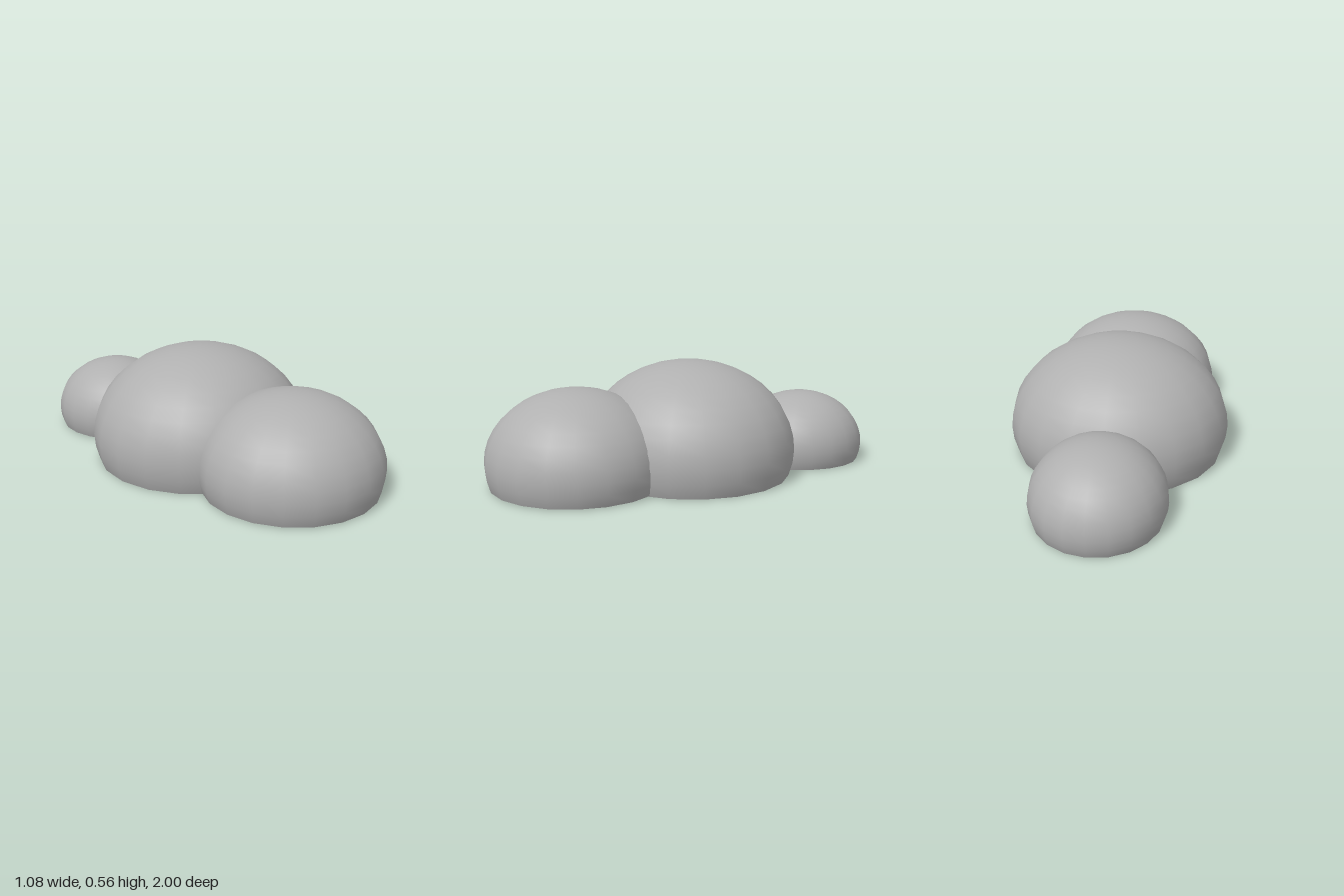
import * as THREE from 'three';

const SIDES = 20;

// Ellipsoid dome cut flat at baseY, closed with a base disc
function makeDome(name, material, { rx, ry, rz, y, z, baseY }) {
  const dome = new THREE.Group();
  dome.name = name;

  const cutAngle = Math.acos((baseY - y) / ry);
  const shell = new THREE.SphereGeometry(1, SIDES, 12, 0, Math.PI * 2, 0, cutAngle);
  shell.scale(rx, ry, rz);
  const shellMesh = new THREE.Mesh(shell, material);
  shellMesh.name = name + 'Shell';
  shellMesh.position.set(0, y, z);

  const base = new THREE.CircleGeometry(Math.sin(cutAngle), SIDES);
  base.rotateX(Math.PI / 2); // faces down
  base.scale(rx, 1, rz);
  const baseMesh = new THREE.Mesh(base, material);
  baseMesh.name = name + 'Base';
  baseMesh.position.set(0, baseY, z);

  dome.add(shellMesh, baseMesh);
  return dome;
}

export function createModel() {
  const model = new THREE.Group();
  model.name = 'tripleMound';
  const grey = new THREE.MeshStandardMaterial({ color: 0xb0b0b0 });
  grey.name = 'plain grey';

  // Three overlapping mounds in a row, largest in the middle
  model.add(
    makeDome('frontMound', grey, { rx: 0.44, ry: 0.35, rz: 0.43, y: 0.11, z: 0.57, baseY: 0.004 }),
    makeDome('middleMound', grey, { rx: 0.54, ry: 0.43, rz: 0.52, y: 0.13, z: -0.015, baseY: 0 }),
    makeDome('backMound', grey, { rx: 0.31, ry: 0.27, rz: 0.335, y: 0.09, z: -0.665, baseY: 0.002 })
  );
  return model;
}
